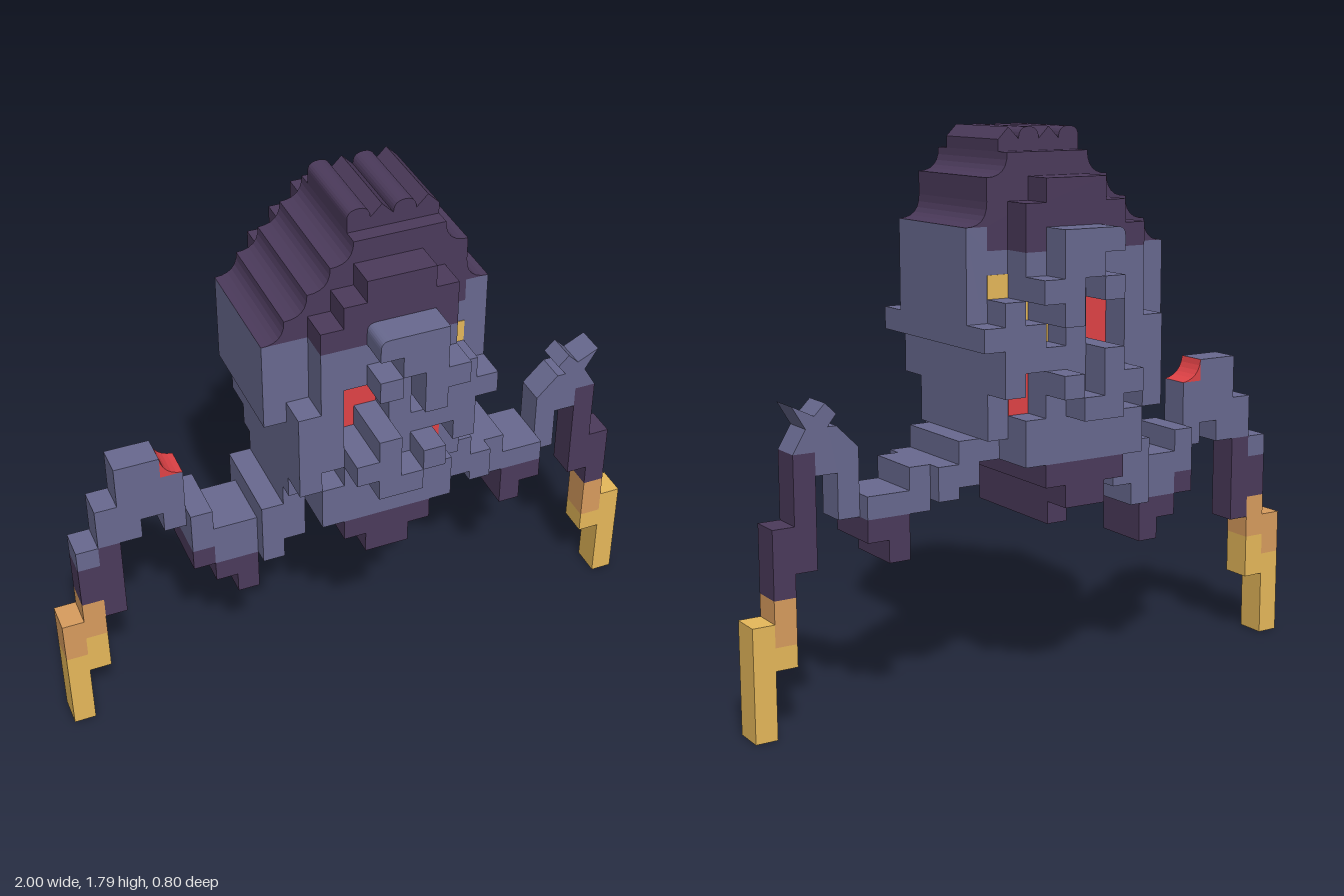
import * as THREE from 'three';

const U = 1 / 14; // one grid cell
const mat = (name, color) => {
  const m = new THREE.MeshStandardMaterial({ color });
  m.name = name;
  return m;
};

export function createModel() {
  const model = new THREE.Group();
  model.name = 'blockyWalker';
  const slate = mat('slate', 0x68698f);
  const plum = mat('plum', 0x4b3a5b);
  const red = mat('red', 0xe04246);
  const gold = mat('gold', 0xe6b85a);
  const tan = mat('tan', 0xd89c5e);

  // Slab cut from an outline in grid cells, centred on z = 0.
  // A point with four numbers is a curve: control x, y, end x, y.
  function slab(name, material, half, points) {
    const s = new THREE.Shape();
    const X = (c) => c * U - 1;
    points.forEach((p, i) => {
      if (i === 0) s.moveTo(X(p[0]), p[1] * U);
      else if (p.length === 4) s.quadraticCurveTo(X(p[0]), p[1] * U, X(p[2]), p[3] * U);
      else s.lineTo(X(p[0]), p[1] * U);
    });
    const g = new THREE.ExtrudeGeometry(s, { depth: half * 2, bevelEnabled: false, curveSegments: 6 });
    g.translate(0, 0, -half);
    const mesh = new THREE.Mesh(g, material);
    mesh.name = name;
    model.add(mesh);
  }

  // Boxes given as [left, bottom, right, top] in grid cells
  function blocks(name, material, half, rects) {
    const group = new THREE.Group();
    group.name = name;
    for (const [l, b, r, t] of rects) {
      const mesh = new THREE.Mesh(new THREE.BoxGeometry((r - l) * U, (t - b) * U, half * 2), material);
      mesh.position.set(((l + r) / 2) * U - 1, ((b + t) / 2) * U, 0);
      mesh.name = name + 'Block';
      group.add(mesh);
    }
    model.add(group);
  }

  // Body core
  slab('bodyCore', slate, 0.2, [[9, 16], [10, 16], [10, 12], [11, 12], [11, 11], [17, 11],
    [17, 12], [18, 12], [18, 16], [19, 16], [19, 21], [18, 21], [18, 20], [9, 20]]);

  // Crown with scooped steps and a bumpy ridge
  slab('crown', plum, 0.2, [[9, 20], [10, 20, 10, 21], [11, 21, 11, 22], [12, 22, 12, 23],
    [13, 23, 13, 24], [17, 24], [17, 23, 18, 23], [18, 22], [18, 21, 19, 21], [18, 21], [18, 20]]);
  slab('crownRidge', plum, 0.15, [[13, 24], [13, 24.6], [13, 25, 13.5, 25], [14, 25, 14, 24.5],
    [14.5, 25], [15, 24.5], [15, 25, 15.5, 25], [16, 25, 16, 24.5], [16.5, 25], [17, 24.5], [17, 24]]);
  blocks('crownFront', plum, 0.3, [[11, 20, 17, 21], [12, 21, 17, 22], [13, 22, 16, 23]]);

  // Second body layer, open around the coloured marks
  blocks('bodyLayer', slate, 0.3, [
    [11, 18, 17, 20], [18, 16, 19, 17],
    [11, 14, 12, 18], [10, 13, 11, 17],
    [14, 17, 16, 18], [14, 16, 15, 17], [16, 16, 17, 17], [17, 14, 18, 18],
    [13, 15, 17, 16], [12, 13, 16, 15],
    [11, 11, 17, 13],
  ]);

  // Raised face layer
  slab('brow', slate, 0.4, [[13, 20], [13, 20.6], [13, 21, 13.4, 21], [16, 21], [16, 20]]);
  blocks('faceLayer', slate, 0.4, [
    [14, 19, 16, 20], [13, 18, 14, 19], [15, 17, 16, 19], [16, 18, 17, 19],
    [13, 15, 14, 16], [12, 14, 14, 15], [13, 13, 15, 14], [15, 14, 16, 15],
  ]);

  // Coloured marks set into the body
  blocks('redMark', red, 0.202, [[12, 16, 14, 18], [12, 15, 13, 16], [11, 13, 12, 14], [16, 13, 17, 15]]);
  blocks('goldMark', gold, 0.202, [[15, 16, 16, 17], [16, 17, 17, 18], [17, 18, 18, 19]]);

  // Chin
  blocks('chin', plum, 0.3, [[12, 10, 16, 11], [13, 9, 15, 10]]);
  blocks('chinTip', plum, 0.2, [[14, 8, 15, 9]]);

  // Right leg, at -x
  slab('rightHip', slate, 0.15, [[9, 8], [10, 8], [10, 9], [11, 9], [11, 12], [10, 12], [10, 11], [9, 11]]);
  slab('rightThigh', slate, 0.1, [[6, 9], [7, 9], [7, 8], [9, 8], [9, 10], [7, 10], [7, 11], [6, 11]]);
  slab('rightThighUnderside', plum, 0.1, [[6, 8], [7, 8], [7, 7], [8, 7], [8, 6], [9, 6],
    [9, 8], [7, 8], [7, 9], [6, 9]]);
  slab('rightKnee', slate, 0.05, [[1, 9], [2, 9], [2, 10], [4, 10], [4, 11], [5, 11], [5, 10], [6, 10], [6, 13],
    [5, 13], [5, 14], [3, 14], [3, 12], [2, 12], [2, 10], [1, 10]]);
  slab('rightKneeWound', red, 0.05, [[5, 13], [6, 13], [5.12, 13.12, 5, 14]]);
  blocks('rightShin', plum, 0.05, [[1, 7, 2, 9], [2, 6, 3, 10]]);
  blocks('rightClawBase', tan, 0.05, [[0, 4, 1, 6], [1, 5, 2, 7]]);
  blocks('rightClaw', gold, 0.05, [[0, 0, 1, 4], [1, 3, 2, 5]]);

  // Left leg, at +x
  slab('leftHip', slate, 0.15, [[17, 11], [18, 11], [18, 10], [19, 10], [19, 9.5], [20, 9.5], [20, 11],
    [19, 11], [19, 12], [17, 12]]);
  slab('leftThigh', slate, 0.1, [[19, 10], [20, 10], [20, 9], [23, 9], [23, 10], [21, 10], [21, 11], [19, 11]]);
  slab('leftThighUnderside', plum, 0.1, [[21, 7], [22, 7], [22, 8], [23, 8], [23, 9], [21, 9]]);
  slab('leftKnee', slate, 0.05, [[23, 9], [24, 9], [24, 11], [25, 11], [25, 12], [26, 12], [25.4, 13],
    [26, 14], [25, 13.5], [24.5, 14], [24, 13.5], [24.4, 13], [24, 13], [23, 12]]);
  blocks('leftShin', plum, 0.05, [[25, 7, 26, 12], [26, 6, 27, 9]]);
  blocks('leftClawBase', tan, 0.05, [[26, 4, 27, 6]]);
  blocks('leftClaw', gold, 0.05, [[27, 0, 28, 5], [26, 3, 27, 4]]);

  return model;
}
